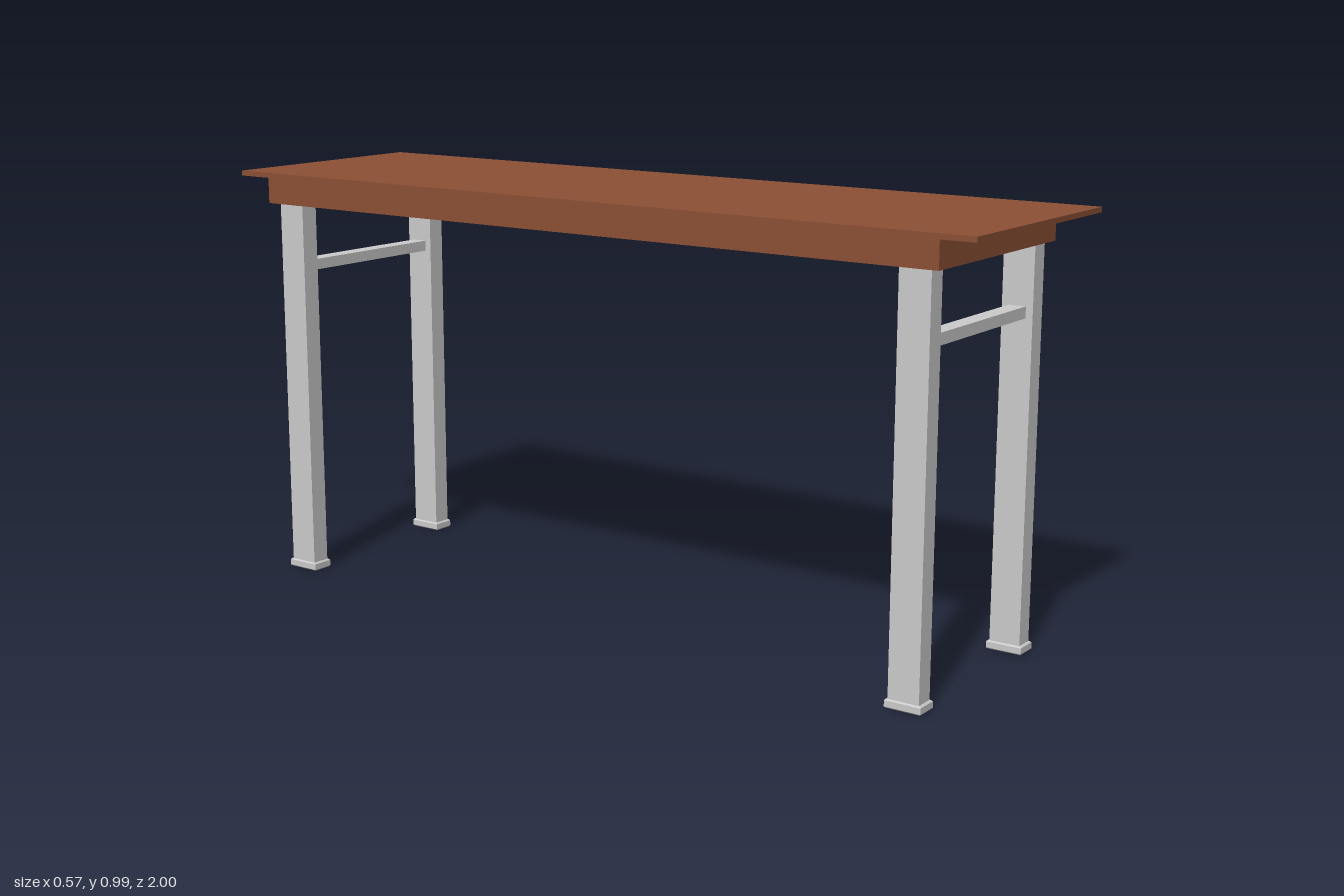
import * as THREE from 'three';

export function createModel() {
  const model = new THREE.Group();
  model.name = 'table';
  const wood = new THREE.MeshStandardMaterial({ color: 0x8c5035, flatShading: true });
  const metal = new THREE.MeshStandardMaterial({ color: 0xcccccc, flatShading: true });

  const add = (name, geometry, material) => {
    const mesh = new THREE.Mesh(geometry, material);
    mesh.name = name;
    model.add(mesh);
    return mesh;
  };

  // box given by its lower and upper limits on each axis
  const box = (name, material, [x0, x1], [y0, y1], [z0, z1]) =>
    add(name, new THREE.BoxGeometry(x1 - x0, y1 - y0, z1 - z0), material)
      .position.set((x0 + x1) / 2, (y0 + y1) / 2, (z0 + z1) / 2);

  // foot pad with small chamfers, standing on the floor
  const bevel = 0.003, padHeight = 0.02;
  const footPad = (width, depth) => {
    const w = width / 2 - bevel, d = depth / 2 - bevel;
    const outline = new THREE.Shape([
      new THREE.Vector2(-w, -d), new THREE.Vector2(w, -d),
      new THREE.Vector2(w, d), new THREE.Vector2(-w, d),
    ]);
    return new THREE.ExtrudeGeometry(outline, {
      depth: padHeight - 2 * bevel, bevelEnabled: true,
      bevelThickness: bevel, bevelSize: bevel, bevelSegments: 1,
    }).rotateX(-Math.PI / 2).translate(0, bevel, 0);
  };

  // thin top over a solid, slightly offset apron block
  box('tabletop', wood, [-0.285, 0.285], [0.978, 0.99], [-1, 1]);
  box('apron', wood, [-0.28, 0.241], [0.916, 0.978], [-0.914, 0.917]);

  // two leg frames, each with a cross bar
  const legX = [-0.249, 0.2085], legW = 0.045, legD = 0.073;
  for (const z of [0.861, -0.847]) {
    for (const x of legX) {
      box('leg', metal, [x - legW / 2, x + legW / 2], [0.018, 0.916], [z - legD / 2, z + legD / 2]);
      add('footPad', footPad(0.053, 0.085), metal).position.set(x, 0, z);
    }
    box('crossBar', metal, [legX[0] + legW / 2, legX[1] - legW / 2], [0.752, 0.778], [z - 0.02, z + 0.02]);
  }
  return model;
}
